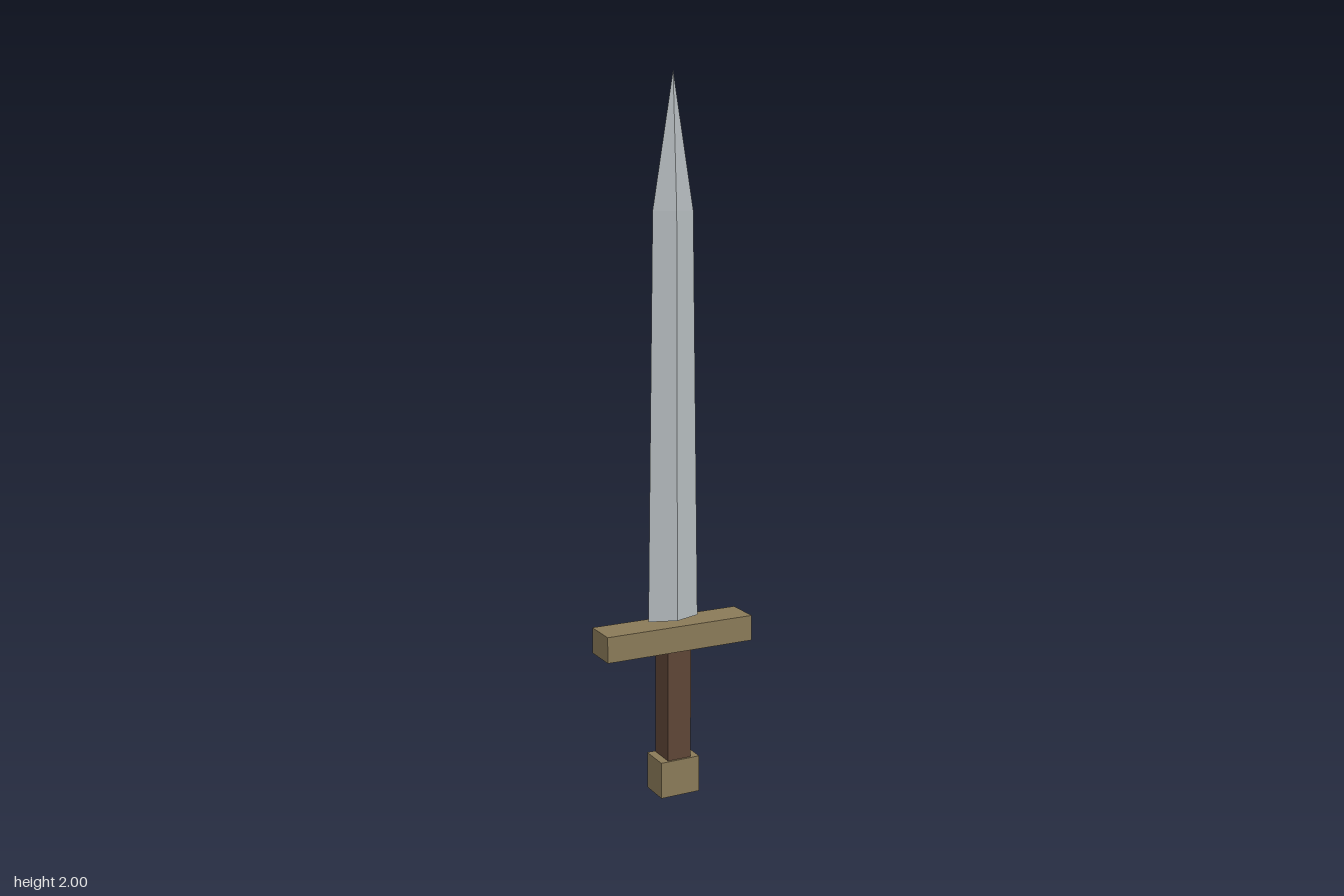
import * as THREE from 'three';

const material = (color) => new THREE.MeshStandardMaterial({ color, flatShading: true });

export function createModel() {
  const sword = new THREE.Group();
  sword.name = 'sword';
  const brass = material(0x8a7a58);
  const wood = material(0x5e4536);
  const steel = material(0xb4babd);

  // Box standing between two heights, centred on the y axis
  const addBlock = (name, width, depth, bottom, top, mat) => {
    const mesh = new THREE.Mesh(new THREE.BoxGeometry(width, top - bottom, depth), mat);
    mesh.position.y = (bottom + top) / 2;
    mesh.name = name;
    sword.add(mesh);
  };

  addBlock('pommel', 0.12, 0.09, 0, 0.105, brass);
  addBlock('grip', 0.072, 0.078, 0.105, 0.425, wood);
  addBlock('crossguard', 0.45, 0.102, 0.425, 0.498, brass);

  // Blade: four-sided profile flattened to a diamond section, tapering to a point
  const profile = [[0, 0.507], [0.077, 0.507], [0.061, 1.635], [0, 2]]
    .map(([r, y]) => new THREE.Vector2(r, y));
  const bladeGeometry = new THREE.LatheGeometry(profile, 4).scale(1, 1, 0.345);
  const blade = new THREE.Mesh(bladeGeometry, steel);
  blade.name = 'blade';
  sword.add(blade);

  return sword;
}
